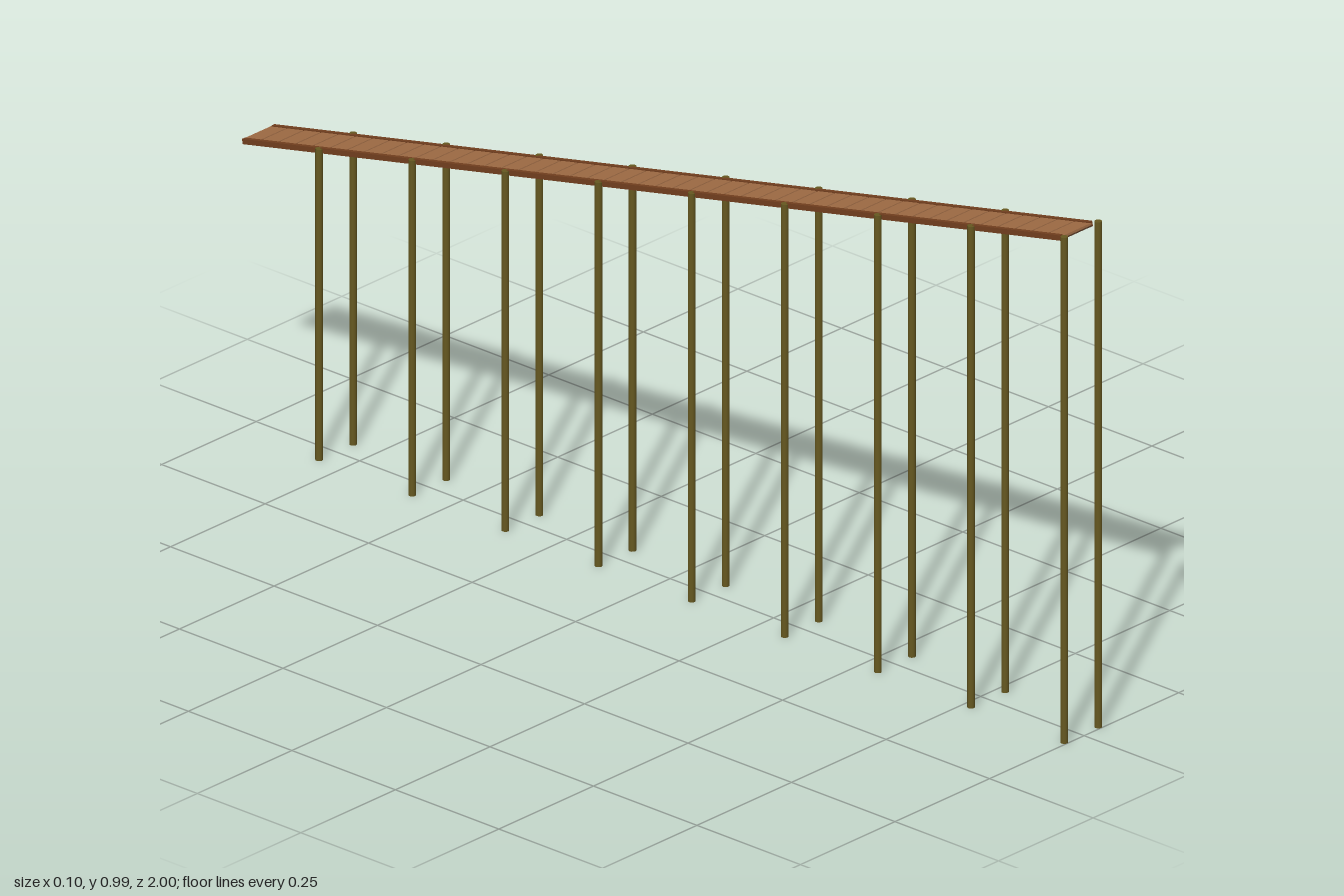
import * as THREE from 'three';

export function createModel() {
  const model = new THREE.Group();
  model.name = 'rampWalkway';

  const material = (color) => new THREE.MeshStandardMaterial({ color });
  const plankMat = material(0xa06c45);
  const railMat = material(0x74401f);
  const backingMat = material(0x553825);
  const postMat = material(0x665820);

  const slope = 0.212;
  const deckY = (z) => 0.776 + slope * z;
  const angle = Math.atan(slope);
  const length = 1.985 / Math.cos(angle);

  function box(parent, name, size, pos, mat) {
    const mesh = new THREE.Mesh(new THREE.BoxGeometry(...size), mat);
    mesh.position.set(...pos);
    mesh.name = name;
    parent.add(mesh);
  }

  // Sloping deck, built flat along z and then tilted up towards the front
  const deck = new THREE.Group();
  deck.name = 'deck';
  deck.position.set(0, deckY(-0.0065), -0.0065);
  deck.rotation.x = -angle;
  model.add(deck);

  // Cross planks with narrow gaps over a thin dark backing
  const count = 48;
  const pitch = length / count;
  for (let i = 0; i < count; i++) {
    const z = -length / 2 + (i + 0.5) * pitch;
    box(deck, 'plank', [0.074, 0.004, pitch - 0.004], [0, 0.001, z], plankMat);
  }
  box(deck, 'deckBacking', [0.074, 0.003, length - 0.004], [0, -0.0021, 0], backingMat);

  // Long side rails
  for (const side of [-1, 1]) {
    box(deck, 'sideRail', [0.008, 0.01, length - 0.01], [side * 0.039, 0, 0], railMat);
  }

  // Pairs of round posts from the ground to just above the deck
  const radius = 0.007;
  for (let i = 0; i < 9; i++) {
    const z = 0.993 - i * 0.225;
    const height = deckY(z) + 0.005;
    for (const side of [-1, 1]) {
      const post = new THREE.Mesh(new THREE.CylinderGeometry(radius, radius, height, 12), postMat);
      post.position.set(side * 0.045, height / 2, z);
      post.name = 'post';
      model.add(post);
    }
  }

  return model;
}
